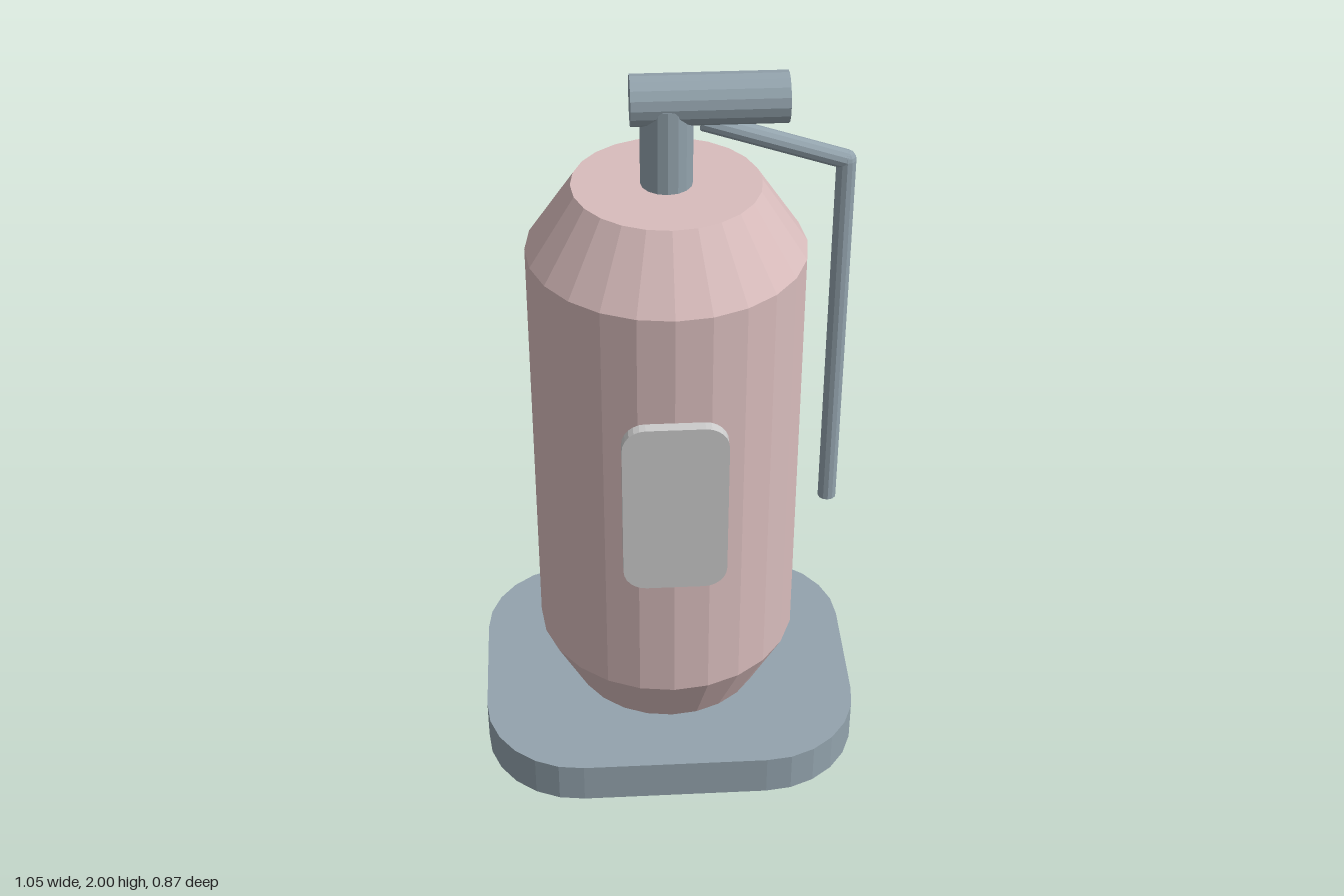
import * as THREE from 'three';

const material = (color) => new THREE.MeshStandardMaterial({ color, flatShading: true });
const shellMat = material(0xd8bcbc);
const metalMat = material(0x93a3ad);
const greyMat = material(0xcccccc);

function part(name, geometry, mat) {
  const mesh = new THREE.Mesh(geometry, mat);
  mesh.name = name;
  return mesh;
}

// Plate with rounded corners, extruded along +z
function roundedPlate(halfW, halfH, r, depth) {
  const s = new THREE.Shape();
  const x = halfW - r, y = halfH - r, q = Math.PI / 2;
  s.absarc(x, y, r, 0, q);
  s.absarc(-x, y, r, q, 2 * q);
  s.absarc(-x, -y, r, 2 * q, 3 * q);
  s.absarc(x, -y, r, 3 * q, 4 * q);
  s.closePath();
  return new THREE.ExtrudeGeometry(s, { depth, bevelEnabled: false, curveSegments: 3 });
}

// Capped cylinder between two points
function rod(name, from, to, radius, sides) {
  const a = new THREE.Vector3(...from), b = new THREE.Vector3(...to);
  const dir = b.clone().sub(a);
  const mesh = part(name, new THREE.CylinderGeometry(radius, radius, dir.length(), sides), metalMat);
  mesh.position.copy(a).add(b).multiplyScalar(0.5);
  mesh.quaternion.setFromUnitVectors(new THREE.Vector3(0, 1, 0), dir.normalize());
  return mesh;
}

export function createModel() {
  const model = new THREE.Group();
  model.name = 'extinguisher';

  // Base plate
  const base = roundedPlate(0.525, 0.435, 0.27, 0.12);
  base.rotateX(-Math.PI / 2);
  model.add(part('base', base, metalMat));

  // Tank with tapered ends, floating just above the base
  const profile = [[0, 0.15], [0.27, 0.15], [0.36, 0.33], [0.36, 1.53], [0.24, 1.71], [0, 1.71]]
    .map(([r, y]) => new THREE.Vector2(r, y));
  model.add(part('tank', new THREE.LatheGeometry(profile, 24), shellMat));

  // Label plate on the front
  const label = part('label', roundedPlate(0.135, 0.253, 0.06, 0.03), greyMat);
  label.position.set(0, 0.978, 0.36);
  model.add(label);

  // Neck and horizontal handle
  model.add(rod('neck', [0, 1.71, 0], [0, 1.93, 0], 0.066, 16));
  model.add(rod('handle', [-0.09, 1.936, 0], [0.297, 1.936, 0], 0.064, 16));

  // Hose: sloped run, elbow and hanging length
  const elbow = [0.447, 1.76, 0];
  model.add(rod('hoseTop', [0.09, 1.876, 0], elbow, 0.025, 12));
  model.add(rod('hoseDrop', elbow, [0.447, 0.71, 0], 0.025, 12));
  const joint = part('hoseElbow', new THREE.SphereGeometry(0.025, 12, 8), metalMat);
  joint.position.set(...elbow);
  model.add(joint);

  return model;
}
